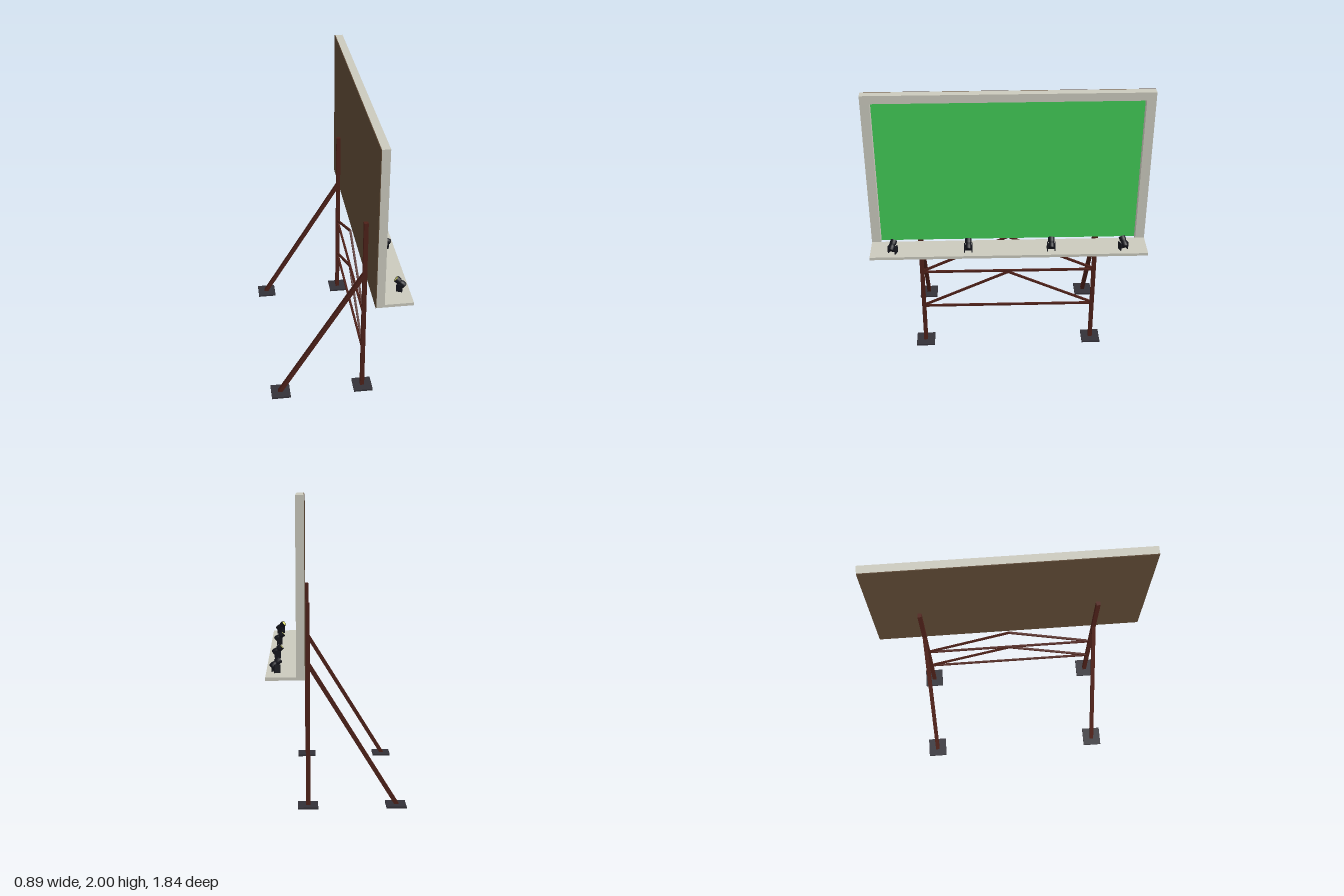
import * as THREE from 'three';

const mat = (color) => new THREE.MeshStandardMaterial({ color });

export function createModel() {
  const model = new THREE.Group();
  const cream = mat(0xcac9bd), green = mat(0x41cb57), brown = mat(0x5c4733);
  const rust = mat(0x4e2119), iron = mat(0x333138), black = mat(0x14151c), yellow = mat(0xe8e870);

  function add(parent, name, geometry, material, x = 0, y = 0, z = 0) {
    const mesh = new THREE.Mesh(geometry, material);
    mesh.name = name;
    mesh.position.set(x, y, z);
    parent.add(mesh);
    return mesh;
  }
  // box given by its minimum and maximum corners
  const block = (name, material, x0, x1, y0, y1, z0, z1, parent = model) =>
    add(parent, name, new THREE.BoxGeometry(x1 - x0, y1 - y0, z1 - z0), material,
      (x0 + x1) / 2, (y0 + y1) / 2, (z0 + z1) / 2);
  // square bar running between two points
  function beam(name, a, b, size) {
    const from = new THREE.Vector3(...a), to = new THREE.Vector3(...b);
    const mesh = add(model, name, new THREE.BoxGeometry(size, size, from.distanceTo(to)), rust);
    mesh.position.copy(from).add(to).multiplyScalar(0.5);
    mesh.lookAt(to);
  }

  // display board: backing, coloured panel, frame and lamp shelf
  block('backBoard', brown, 0.203, 0.208, 0.9, 2, -0.92, 0.92);
  block('displayPanel', green, 0.208, 0.213, 0.902, 1.945, -0.86, 0.86);
  block('frameTop', cream, 0.208, 0.26, 1.945, 2, -0.92, 0.92);
  for (const s of [-1, 1]) {
    const z = s * 0.89;
    block('frameSide', cream, 0.208, 0.26, 0.9, 1.945, z - 0.03, z + 0.03);
  }
  block('lampShelf', cream, 0.26, 0.445, 0.9, 0.92, -0.92, 0.92);

  // posts, rear braces and foot plates
  for (const z of [-0.6, 0.6]) {
    block('post', rust, 0.175, 0.203, 0.01, 1.33, z - 0.014, z + 0.014);
    beam('rearBrace', [-0.387, 0.008, z], [0.186, 0.938, z], 0.027);
    for (const x of [-0.38, 0.19])
      block('footPlate', iron, x - 0.065, x + 0.065, 0, 0.013, z - 0.065, z + 0.065);
  }

  // cross bracing between the posts
  for (const y of [0.315, 0.612]) {
    beam('crossBar', [0.189, y, -0.6], [0.189, y, 0.6], 0.014);
    for (const s of [-1, 1])
      beam('diagonalBar', [0.189, y + 0.006, s * 0.6], [0.189, y + 0.286, 0], 0.014);
  }

  // spotlights aimed up at the panel, the outer two turned inwards
  const housing = new THREE.LatheGeometry([
    [0, -0.036], [0.016, -0.036], [0.02, -0.03], [0.02, -0.008], [0.017, -0.006],
    [0.017, 0.006], [0.022, 0.009], [0.022, 0.036], [0.019, 0.036], [0.019, 0.031], [0, 0.031],
  ].map(([r, y]) => new THREE.Vector2(r, y)), 16);
  const lens = new THREE.CylinderGeometry(0.018, 0.018, 0.003, 16);
  for (const [z, yaw] of [[0.77, -0.38], [0.27, 0], [-0.28, 0], [-0.76, 0.38]]) {
    const lamp = new THREE.Group();
    lamp.name = 'spotlight';
    lamp.position.set(0.385, 0.92, z);
    lamp.rotation.y = yaw;
    model.add(lamp);
    for (const s of [-1, 1])
      block('bracketArm', black, -0.02, 0.02, 0, 0.052, s * 0.025 - 0.003, s * 0.025 + 0.003, lamp);
    block('bracketCrossPiece', black, -0.02, 0.02, 0.018, 0.026, -0.025, 0.025, lamp);
    const pivot = add(lamp, 'pivotPin', new THREE.CylinderGeometry(0.007, 0.007, 0.054, 8), black, 0, 0.045, 0);
    pivot.rotation.x = Math.PI / 2;
    const head = new THREE.Group();
    head.name = 'lampHead';
    head.position.set(0.002, 0.057, 0);
    head.rotation.z = 0.9;
    lamp.add(head);
    add(head, 'lampHousing', housing, black);
    add(head, 'lampLens', lens, yellow, 0, 0.033, 0);
  }
  return model;
}
